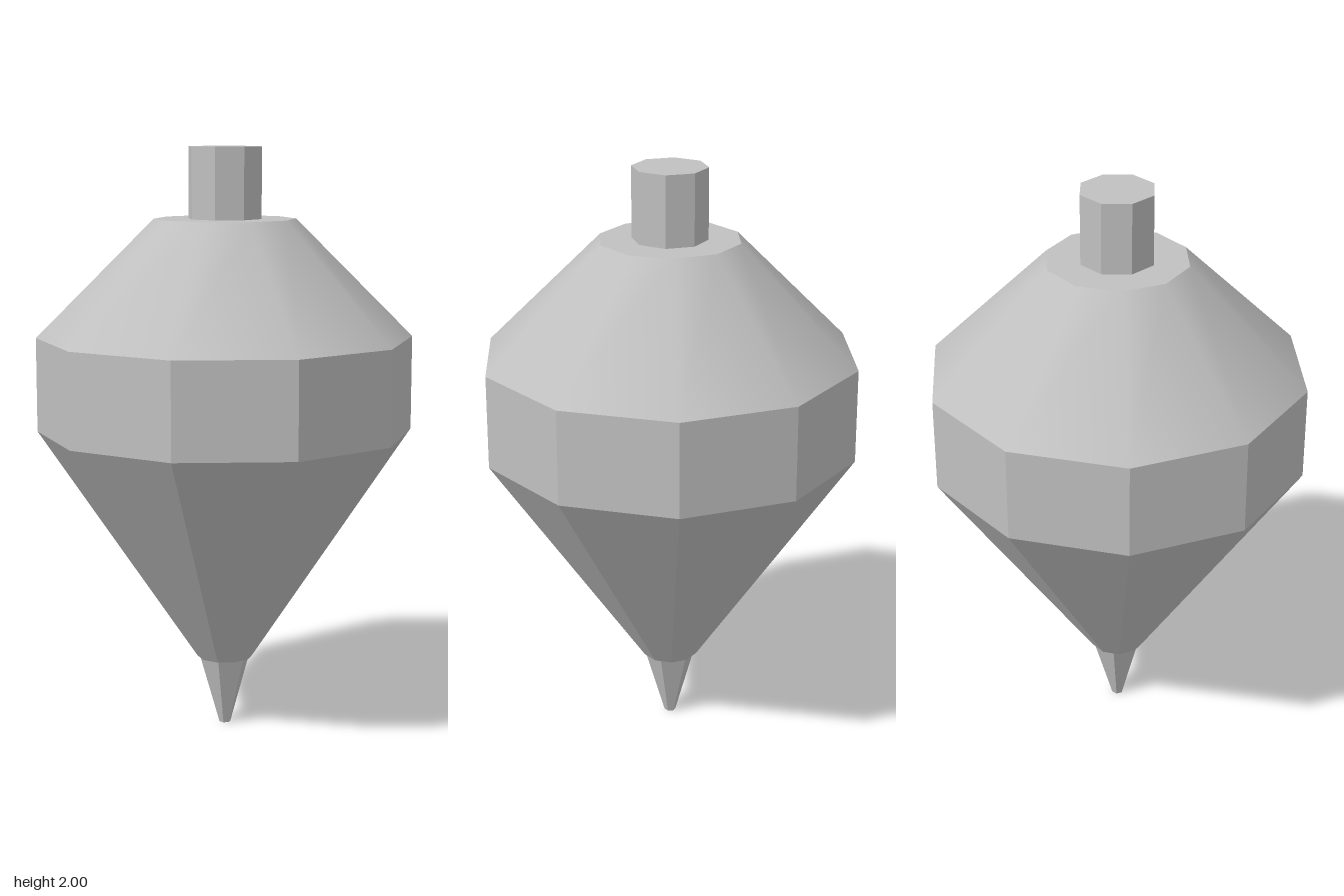
import * as THREE from 'three';

export function createModel() {
  const model = new THREE.Group();
  const steel = new THREE.MeshStandardMaterial({ color: 0xc0c0c0 });
  steel.name = 'greySteel';

  // Faceted or smooth frustum standing between two heights, a corner facing +z
  function frustum(name, rTop, rBottom, yBottom, yTop, sides, { smooth = false, open = false } = {}) {
    let geometry = new THREE.CylinderGeometry(rTop, rBottom, yTop - yBottom, sides, 1, open);
    if (!smooth) {
      geometry = geometry.toNonIndexed();
      geometry.computeVertexNormals();
    }
    const mesh = new THREE.Mesh(geometry, steel);
    mesh.name = name;
    mesh.position.y = (yTop + yBottom) / 2;
    model.add(mesh);
  }

  // Hexagonal point
  frustum('tip', 0.09, 0.02, 0, 0.245, 6);
  // Ten-sided body: lower taper, upright band, smooth shoulder
  frustum('lowerTaper', 0.64, 0.096, 0.24, 1.04, 10);
  frustum('band', 0.64, 0.64, 1.04, 1.36, 10, { open: true });
  frustum('shoulder', 0.24, 0.64, 1.36, 1.76, 10, { smooth: true });
  // Octagonal knob
  frustum('knob', 0.127, 0.127, 1.76, 2, 8);

  return model;
}
